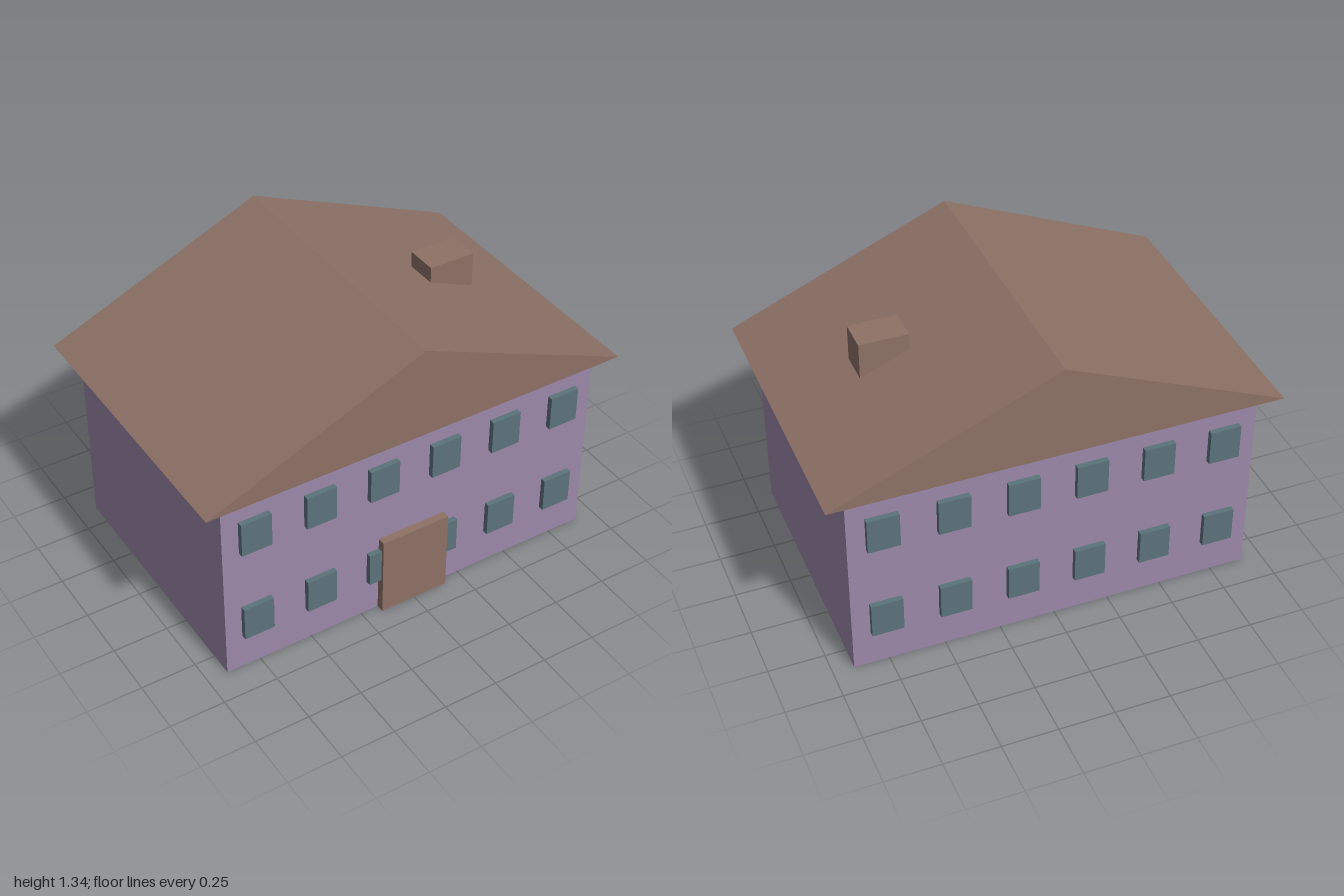
import * as THREE from 'three';

const flat = (name, color) => {
  const m = new THREE.MeshStandardMaterial({ color });
  m.name = name;
  return m;
};

export function createModel() {
  const house = new THREE.Group();
  house.name = 'house';
  const lilac = flat('lilac wall', 0x9b88a8);
  const brown = flat('brown wood', 0x8d7166);
  const teal = flat('teal glass', 0x5c737b);

  // Box given by its centre in x and z, and its bottom in y
  const box = (name, material, w, h, d, x, y, z) => {
    const mesh = new THREE.Mesh(new THREE.BoxGeometry(w, h, d), material);
    mesh.name = name;
    mesh.position.set(x, y + h / 2, z);
    house.add(mesh);
    return mesh;
  };

  const eaves = 0.917, ridge = 1.34, wallZ = 0.61;
  box('walls', lilac, 1.814, eaves, wallZ * 2, 0, 0, 0);

  // Gabled roof, a solid triangular prism overhanging the walls
  const gable = new THREE.Shape([
    new THREE.Vector2(-1, eaves),
    new THREE.Vector2(1, eaves),
    new THREE.Vector2(0, ridge),
  ]);
  const roofGeometry = new THREE.ExtrudeGeometry(gable, { depth: 1.342, bevelEnabled: false });
  roofGeometry.translate(0, 0, -0.671);
  const roof = new THREE.Mesh(roofGeometry, brown);
  roof.name = 'roof';
  house.add(roof);

  // Chimney sunk into the left slope
  box('chimney', brown, 0.218, 0.23, 0.148, 0.543, 1.0, 0);

  // Front door slab
  box('door', brown, 0.327, 0.387, 0.06, -0.001, 0, 0.617);

  // Two rows of six windows on the front and back
  for (const side of [1, -1]) {
    for (const y of [0.172, 0.63]) {
      for (let i = 0; i < 6; i++) {
        const x = -0.76 + i * 0.3033;
        box(side > 0 ? 'frontWindow' : 'backWindow', teal, 0.14, 0.162, 0.05, x, y, side * wallZ);
      }
    }
  }
  return house;
}
